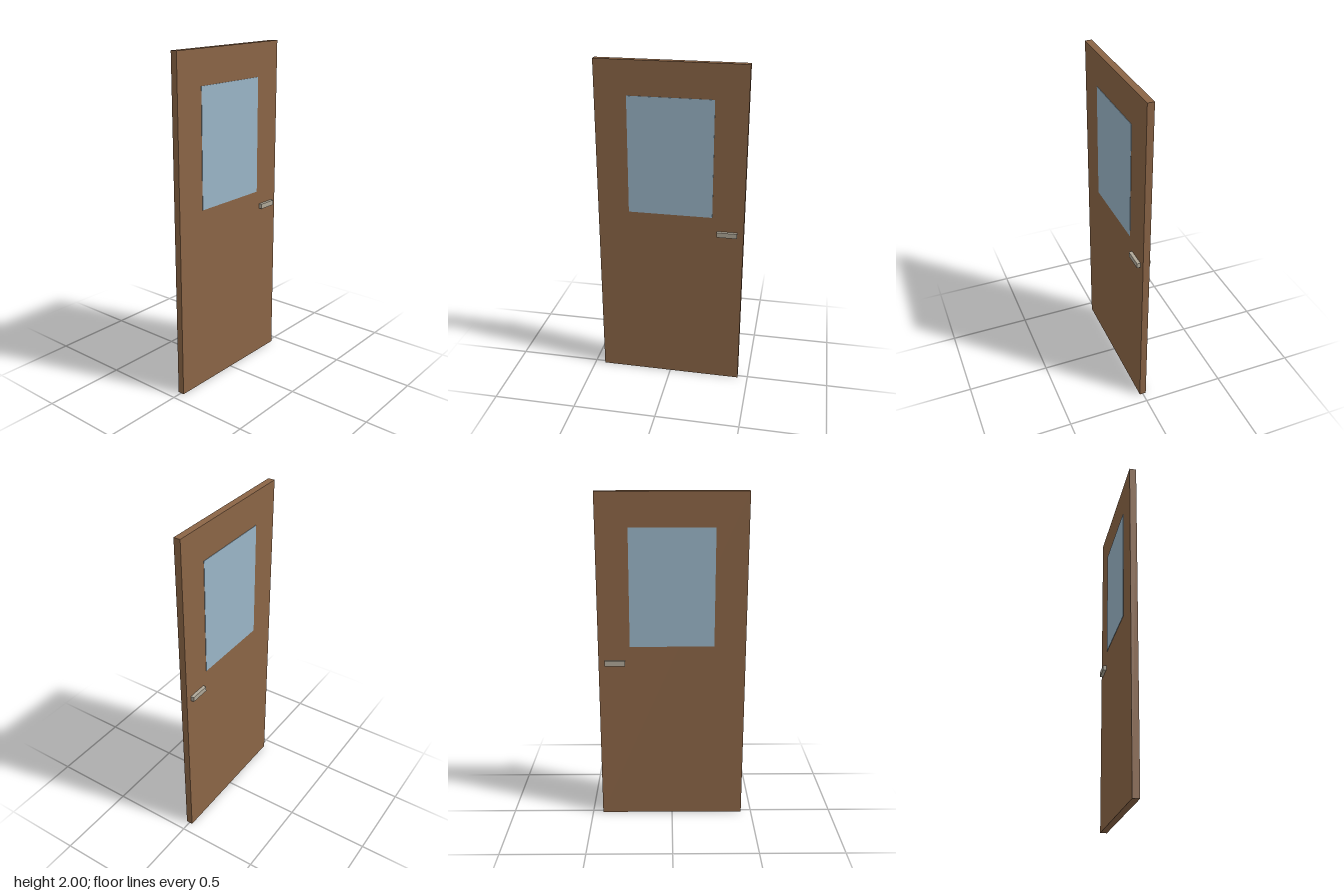
import * as THREE from 'three';

const wood = new THREE.MeshStandardMaterial({ color: 0x8b6546 });
wood.name = 'brown wood';
const glass = new THREE.MeshStandardMaterial({ color: 0x9ab5c7 });
glass.name = 'pale blue glass';
const metal = new THREE.MeshStandardMaterial({ color: 0xb0a898 });
metal.name = 'grey metal';

function addBox(parent, name, material, size, position) {
  const mesh = new THREE.Mesh(new THREE.BoxGeometry(...size), material);
  mesh.name = name;
  mesh.position.set(...position);
  parent.add(mesh);
}

export function createModel() {
  const door = new THREE.Group();
  door.name = 'door';

  // Flat door slab
  addBox(door, 'slab', wood, [0.875, 2, 0.04], [0, 1, 0]);

  // Window pane and lever handle on both faces
  for (const [side, s] of [['front', 1], ['back', -1]]) {
    addBox(door, `${side}Window`, glass, [0.5, 0.7, 0.0025], [0, 1.45, s * 0.02125]);
    addBox(door, `${side}Handle`, metal, [0.12, 0.03, 0.02], [0.34, 1, s * 0.03]);
  }

  return door;
}
